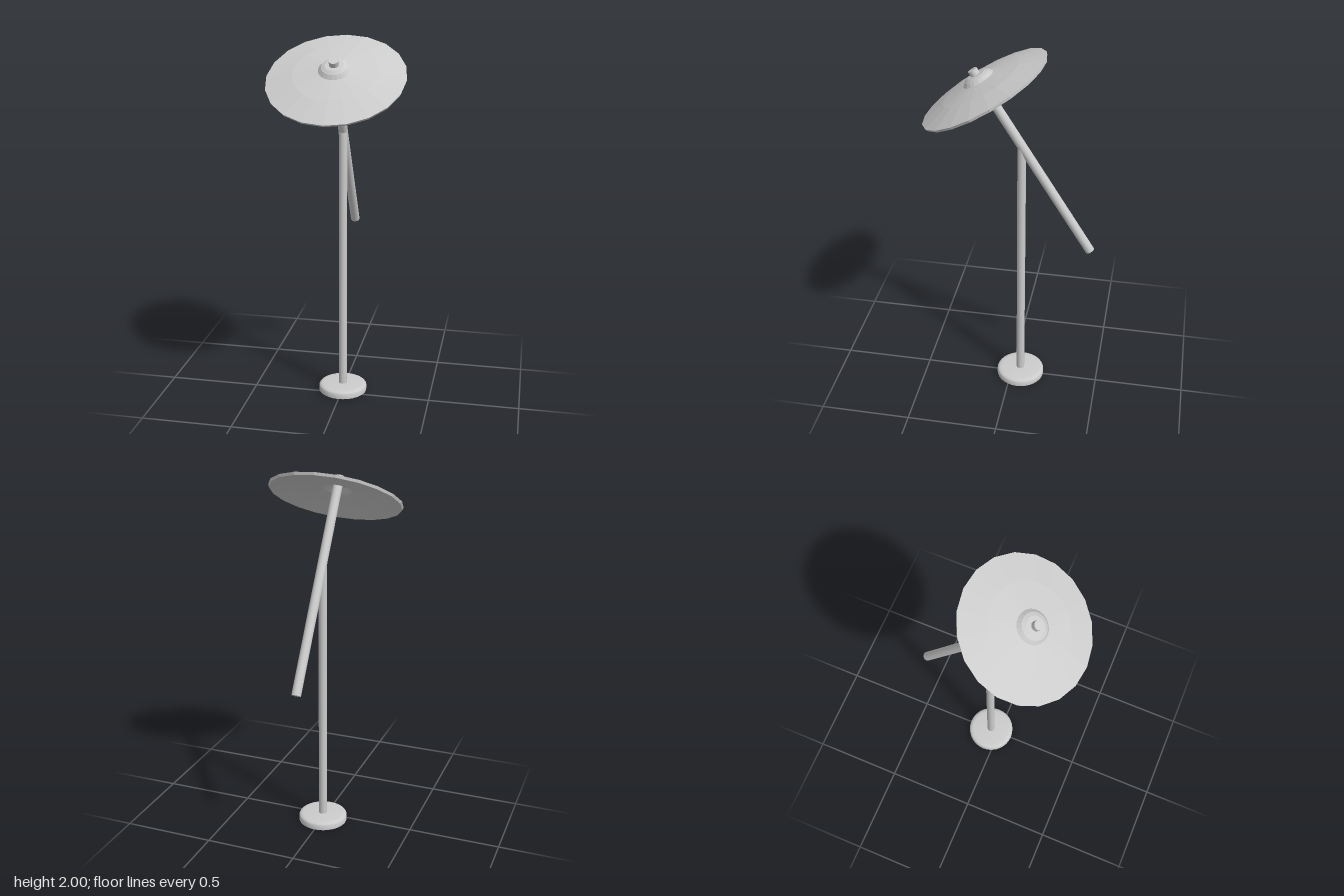
import * as THREE from 'three';
import { toCreasedNormals } from 'three/addons/utils/BufferGeometryUtils.js';

const smooth = new THREE.MeshStandardMaterial({ color: 0xcccccc });
const faceted = new THREE.MeshStandardMaterial({ color: 0xcccccc, flatShading: true });

const lathe = (points, sides) =>
  new THREE.LatheGeometry(points.map(([r, y]) => new THREE.Vector2(r, y)), sides);

function addMesh(group, name, geometry, material) {
  const mesh = new THREE.Mesh(geometry, material);
  mesh.name = name;
  group.add(mesh);
  return mesh;
}

export function createModel() {
  const model = new THREE.Group();
  model.name = 'floorLamp';
  const postZ = -0.053;

  // Round foot with a softened upper edge
  const footProfile = [[0, 0], [0.135, 0], [0.135, 0.028], [0.131, 0.034], [0.122, 0.039], [0.108, 0.041], [0, 0.041]];
  addMesh(model, 'base', toCreasedNormals(lathe(footProfile, 32), 0.7), smooth).position.z = postZ;

  // Upright post
  const postHeight = 1.47;
  addMesh(model, 'post', new THREE.CylinderGeometry(0.023, 0.023, postHeight, 20), smooth)
    .position.set(0, 0.035 + postHeight / 2, postZ);

  // Slanted arm: runs from its free rear end up through the shade
  const low = new THREE.Vector3(0, 0.912, -0.429);
  const high = new THREE.Vector3(0, 1.914, 0.197);
  const arm = addMesh(model, 'arm', new THREE.CylinderGeometry(0.025, 0.025, low.distanceTo(high), 20), smooth);
  arm.position.copy(low).add(high).multiplyScalar(0.5);
  arm.rotation.x = Math.atan2(high.z - low.z, high.y - low.y);

  // Thin tilted shade with a raised hub, hollow underneath
  const shadeProfile = [
    [0, 0.065], [0.045, 0.065], [0.08, 0.042], [0.22, 0.022], [0.354, -0.008],
    [0.36, 0.006], [0.22, 0.04], [0.085, 0.061], [0.068, 0.079], [0.048, 0.088], [0, 0.09],
  ];
  const shade = addMesh(model, 'shade', lathe(shadeProfile, 20), faceted);
  shade.position.set(0, 1.814, 0.137);
  shade.rotation.x = Math.PI / 6;

  return model;
}
